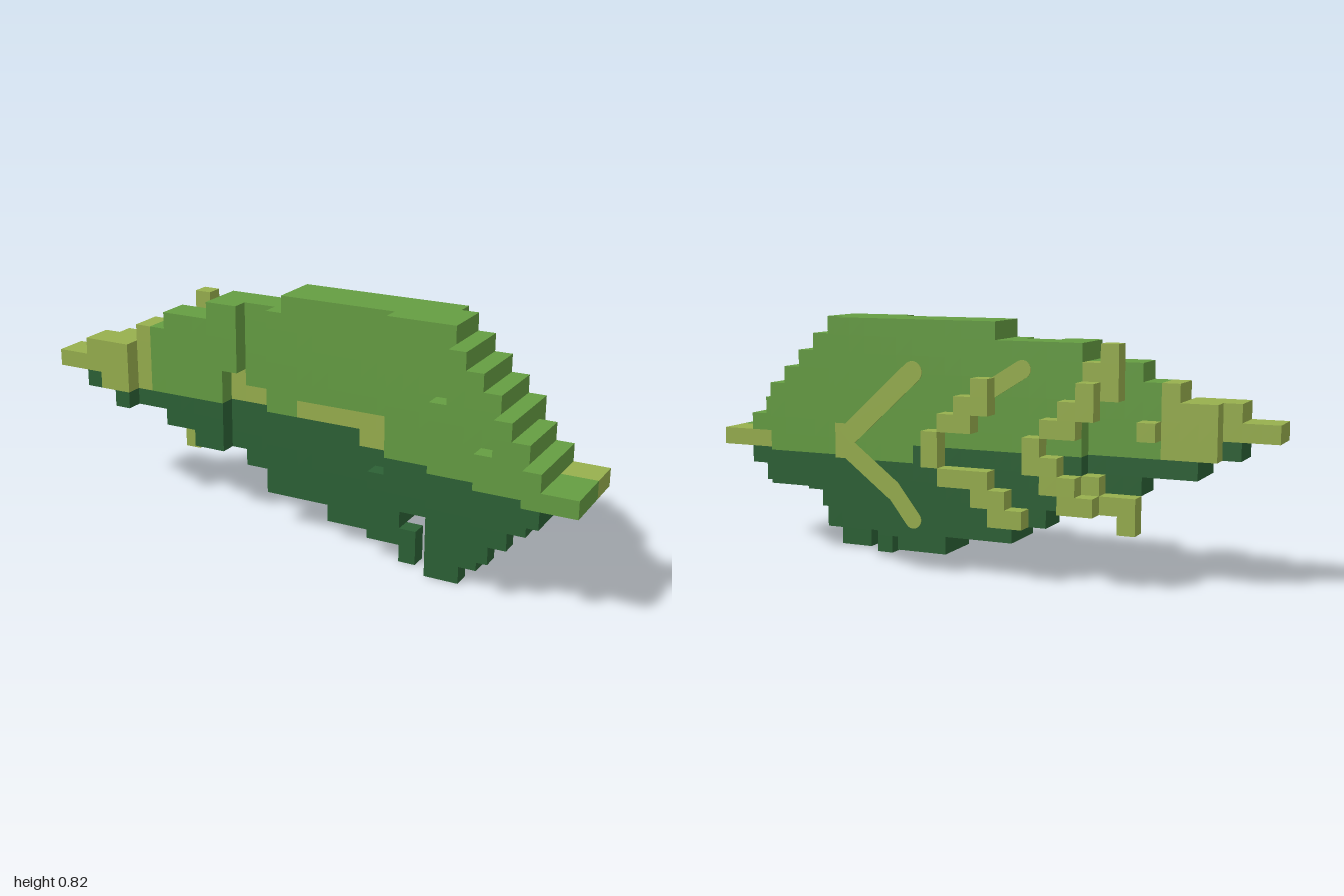
import * as THREE from 'three';

const U = 2 / 34;                       // one block
const NX = 34, NY = 14, NZ = 8;

export function createModel() {
  const mats = {
    upper: new THREE.MeshStandardMaterial({ color: 0x659d42, name: 'leaf green' }),
    lower: new THREE.MeshStandardMaterial({ color: 0x2c6135, name: 'dark green' }),
    rib: new THREE.MeshStandardMaterial({ color: 0x97af4e, name: 'vein yellow green' }),
  };
  const cells = new Map();
  const key = (i, j, k) => (i * 20 + j + 1) * 20 + k + 1;
  const shade = (i, j) => (j < (i < 20 ? 7 : 6) ? 'lower' : 'upper');
  const box = (i0, i1, j0, j1, k0, k1, tone) => {
    for (let i = i0; i <= i1; i++)
      for (let j = j0; j <= j1; j++)
        for (let k = k0; k <= k1; k++)
          cells.set(key(i, j, k), { p: [i, j, k], tone: tone || shade(i, j) });
  };
  const cut = (i0, i1, j0, j1, k0, k1) => {
    for (let i = i0; i <= i1; i++)
      for (let j = j0; j <= j1; j++)
        for (let k = k0; k <= k1; k++) cells.delete(key(i, j, k));
  };

  // stem: narrow pointed end
  box(0, 1, 8, 8, 3, 4, 'rib');
  box(2, 2, 8, 9, 3, 4, 'rib');
  box(2, 2, 7, 7, 3, 4, 'lower');
  box(3, 4, 7, 9, 2, 4, 'rib');
  box(4, 4, 6, 6, 2, 4);
  box(5, 5, 7, 10, 2, 3, 'rib');
  box(5, 5, 6, 6, 2, 3);

  // blade: runs of first column, last column, bottom row, top row, back layer
  const blade = [
    [6, 6, 6, 10, 2], [7, 7, 5, 11, 2], [8, 8, 5, 11, 2], [9, 9, 4, 11, 2],
    [10, 11, 4, 12, 1], [12, 13, 3, 12, 1], [14, 14, 2, 12, 1],
    [15, 17, 2, 13, 1], [18, 20, 1, 13, 1], [21, 22, 2, 13, 1], [23, 24, 3, 13, 1],
  ];
  for (const [a, b, lo, hi, back] of blade) box(a, b, lo, hi, back, 3);
  // fold on the front face
  cut(12, 13, 3, 12, 3, 3);
  cut(11, 11, 4, 8, 3, 3);
  // raised front panel and its lower edge
  box(22, 24, 3, 13, 4, 4);
  box(21, 22, 1, 4, 4, 4);
  box(23, 23, 0, 1, 4, 4);

  // stepped tip, curling forward
  box(25, 25, 10, 13, 2, 4);
  box(25, 25, 4, 9, 2, 5);
  box(26, 26, 4, 12, 2, 5);
  box(27, 27, 4, 11, 2, 5);
  box(28, 28, 4, 10, 2, 5);
  box(28, 28, 4, 7, 6, 6);
  box(29, 29, 4, 9, 2, 6);
  box(30, 30, 4, 8, 3, 6);
  box(31, 31, 5, 7, 3, 7);
  box(32, 33, 6, 6, 3, 7);
  // thin hanging edge below the tip
  box(25, 26, 0, 3, 5, 5);
  box(27, 27, 1, 3, 5, 5);
  box(28, 28, 2, 3, 6, 6);
  box(29, 29, 3, 3, 6, 6);

  // midrib blocks set into the blade
  box(30, 31, 6, 6, 3, 3, 'rib');
  box(32, 33, 6, 6, 3, 4, 'rib');
  box(24, 24, 6, 7, 1, 1, 'rib');
  box(11, 11, 7, 8, 2, 2, 'rib');
  box(12, 13, 7, 7, 2, 2, 'rib');
  box(16, 21, 7, 7, 3, 3, 'rib');
  box(20, 21, 6, 6, 3, 3, 'rib');

  // raised chevron veins on the back: column, bottom row, top row
  const outer = [
    [18, 6, 7], [17, 8, 8], [17, 5, 5], [16, 8, 9], [16, 5, 5], [15, 9, 10],
    [15, 4, 5], [14, 3, 4], [13, 3, 3],
    [12, 6, 7], [11, 8, 8], [11, 5, 6], [10, 8, 9], [10, 4, 5], [9, 9, 10], [9, 4, 4],
  ];
  const inner = [[9, 10, 11], [9, 4, 5], [8, 10, 12], [8, 4, 4], [7, 3, 4], [6, 8, 8]];
  for (const [i, lo, hi] of outer) box(i, i, lo, hi, 0, 0, 'rib');
  for (const [i, lo, hi] of inner) box(i, i, lo, hi, 1, 1, 'rib');

  // turn the exposed block sides into one surface per colour
  const surf = { upper: [], lower: [], rib: [] };
  for (const { p, tone } of cells.values()) {
    for (let a = 0; a < 3; a++) {
      for (const s of [0, 1]) {
        const q = p.slice();
        q[a] += s ? 1 : -1;
        if (cells.has(key(...q))) continue;
        const b = (a + 1) % 3, c = (a + 2) % 3;
        const corner = (u, v) => {
          const r = p.slice();
          r[a] += s; r[b] += u; r[c] += v;
          return [(r[0] - NX / 2) * U, r[1] * U, (r[2] - NZ / 2) * U];
        };
        const quad = [corner(0, 0), corner(1, 0), corner(1, 1), corner(0, 1)];
        if (!s) quad.reverse();
        for (const n of [0, 1, 2, 0, 2, 3]) surf[tone].push(...quad[n]);
      }
    }
  }
  const group = new THREE.Group();
  group.name = 'leaf';
  const names = { upper: 'upperBlade', lower: 'lowerBlade', rib: 'raisedVeins' };
  for (const tone in surf) {
    const geo = new THREE.BufferGeometry();
    geo.setAttribute('position', new THREE.Float32BufferAttribute(surf[tone], 3));
    geo.computeVertexNormals();
    const mesh = new THREE.Mesh(geo, mats[tone]);
    mesh.name = names[tone];
    group.add(mesh);
  }

  // flat painted veins on the back: rounded strips between two block positions
  const strip = (x0, y0, x1, y1, w) => {
    const len = Math.hypot(x1 - x0, y1 - y0) * U, r = w * U / 2;
    const s = new THREE.Shape();
    s.moveTo(0, -r);
    s.lineTo(len, -r);
    s.absarc(len, 0, r, -Math.PI / 2, Math.PI / 2, false);
    s.lineTo(0, r);
    s.closePath();
    const geo = new THREE.ExtrudeGeometry(s, { depth: 0.004, bevelEnabled: false, curveSegments: 6 });
    const mesh = new THREE.Mesh(geo, mats.rib);
    mesh.name = 'paintedVein';
    mesh.position.set((x0 - NX / 2) * U, y0 * U, (1 - NZ / 2) * U - 0.003);
    mesh.rotation.z = Math.atan2(y1 - y0, x1 - x0);
    group.add(mesh);
  };
  strip(24.3, 7.2, 20, 11.1, 1.2);
  strip(24.2, 6.6, 21.3, 4.4, 1.1);
  strip(21.4, 4.6, 20, 2.8, 1.0);
  strip(15.5, 10.2, 13.4, 11.5, 1.0);
  return group;
}
